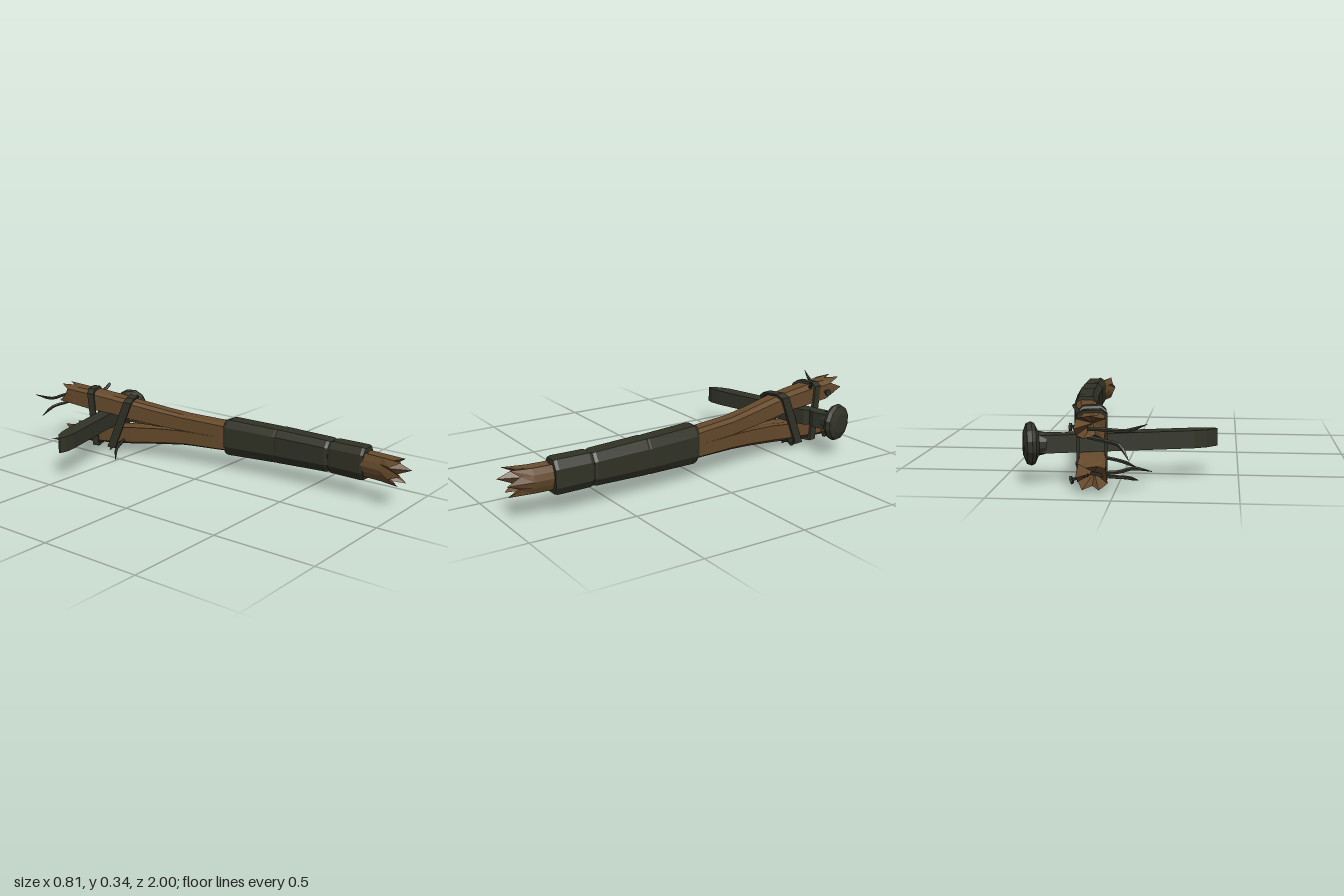
import * as THREE from 'three';

const MID = 0.173; // height of the split between the two prongs

const mat = (name, color) => {
  const m = new THREE.MeshStandardMaterial({ color });
  m.name = name;
  return m;
};

// faceted skin over cross-sections that run from front to back
function loft(rings, frontInset = 0, backInset = 0) {
  const pos = [];
  const tri = (...pts) => pts.forEach((p) => pos.push(p.x, p.y, p.z));
  const n = rings[0].length;
  for (let i = 0; i < rings.length - 1; i++) {
    for (let j = 0; j < n; j++) {
      const k = (j + 1) % n;
      const a = rings[i][j], b = rings[i][k], c = rings[i + 1][j], d = rings[i + 1][k];
      tri(a, c, b);
      tri(b, c, d);
    }
  }
  const middle = (ring, dz) => {
    const c = new THREE.Vector3();
    ring.forEach((p) => c.add(p));
    c.divideScalar(n);
    c.z += dz;
    return c;
  };
  const first = rings[0], last = rings[rings.length - 1];
  const f = middle(first, -frontInset), e = middle(last, backInset);
  for (let j = 0; j < n; j++) {
    const k = (j + 1) % n;
    tri(f, first[j], first[k]);
    tri(e, last[k], last[j]);
  }
  const g = new THREE.BufferGeometry();
  g.setAttribute('position', new THREE.Float32BufferAttribute(pos, 3));
  g.computeVertexNormals();
  return g;
}

function faceted(geometry) {
  const g = geometry.index ? geometry.toNonIndexed() : geometry;
  g.computeVertexNormals();
  return g;
}

// eight-sided section: centre x, half width, bottom and top
const OCT = [[1, -0.55], [1, 0.5], [0.6, 1], [-0.6, 1], [-1, 0.6], [-1, -0.5], [-0.6, -1], [0.6, -1]];
const octRing = (z, x, w, y0, y1) =>
  OCT.map(([u, v]) => new THREE.Vector3(x + u * w, (y0 + y1) / 2 + (v * (y1 - y0)) / 2, z));

// half section of the split wood, flat on the inner side
const HALF = [[-1, 0], [-0.3, 0.06], [0.35, 0], [1, 0], [1, 0.45], [1, 0.8], [0.55, 1], [0, 0.97], [-0.55, 1], [-1, 0.85], [-1, 0.4]];
const JAG = [-0.03, 0.04, -0.02, 0.05, -0.03, 0.04, -0.035, 0.03, -0.035, 0.03, 0.01];

const PRONG = [
  [0.1, 0.25, 0.05, 0.173, 0.24], [0, 0.232, 0.05, 0.173, 0.245],
  [-0.2, 0.202, 0.047, 0.174, 0.252], [-0.33, 0.175, 0.046, 0.18, 0.266],
  [-0.5, 0.14, 0.05, 0.195, 0.288], [-0.62, 0.122, 0.054, 0.211, 0.302],
  [-0.75, 0.105, 0.055, 0.216, 0.313], [-0.86, 0.096, 0.057, 0.226, 0.317],
  [-0.93, 0.09, 0.061, 0.236, 0.322],
];

function prongGeometry(lower) {
  const rings = PRONG.map(([z, x, w, yi, yo], i) => {
    const end = i === PRONG.length - 1;
    const ring = HALF.map(([u, v], j) => {
      const y = yi + v * (yo - yi);
      const zz = z + (end ? JAG[j] : 0) + (lower && z < -0.8 ? 0.04 : 0);
      return new THREE.Vector3(x + u * w, lower ? 2 * MID - y : y, zz);
    });
    return lower ? ring.reverse() : ring;
  });
  return loft(rings, 0, 0.09);
}

// round bar that tapers along a curve to a point
function taperedBar(points, radius, tip = 0.15) {
  const curve = new THREE.CatmullRomCurve3(points.map((p) => new THREE.Vector3(...p)));
  const steps = 8, sides = 5;
  const g = new THREE.TubeGeometry(curve, steps, radius, sides);
  const p = g.attributes.position, v = new THREE.Vector3();
  for (let i = 0; i <= steps; i++) {
    const c = curve.getPointAt(i / steps);
    const s = i < steps - 2 ? 1 : THREE.MathUtils.lerp(1, tip, (i - steps + 2) / 2);
    for (let j = 0; j <= sides; j++) {
      const k = i * (sides + 1) + j;
      v.fromBufferAttribute(p, k).sub(c).multiplyScalar(s).add(c);
      p.setXYZ(k, v.x, v.y, v.z);
    }
  }
  return faceted(g);
}

// slanted strap around both prongs
function strapGeometry(zTop, slant, y0, y1, w, depth) {
  const rect = (P, a, b, c) => {
    const s = new P();
    s.moveTo(-a, b); s.lineTo(a, b); s.lineTo(a, c - 0.02); s.lineTo(a * 0.6, c);
    s.lineTo(-a * 0.6, c); s.lineTo(-a, c - 0.02); s.closePath();
    return s;
  };
  const s = rect(THREE.Shape, w, y0, y1);
  s.holes.push(rect(THREE.Path, w - 0.012, y0 + 0.012, y1 - 0.012));
  const g = new THREE.ExtrudeGeometry(s, { depth, bevelEnabled: false });
  const p = g.attributes.position;
  for (let i = 0; i < p.count; i++) {
    const x = p.getX(i);
    const z = zTop + p.getZ(i) - depth / 2 - x * 0.4 - slant * (y1 - p.getY(i));
    p.setXYZ(i, x + 0.105 - (z + 0.75) * -0.13, p.getY(i), z);
  }
  return faceted(g);
}

export function createModel() {
  const wood = mat('weathered wood', 0x664a2c);
  const wrap = mat('dark wrap', 0x313226);
  const iron = mat('dark iron', 0x323428);
  const model = new THREE.Group();
  const add = (name, geometry, material, parent = model) => {
    const m = new THREE.Mesh(geometry, material);
    m.name = name;
    parent.add(m);
    return m;
  };

  // split wooden shaft
  add('upperProng', prongGeometry(false), wood);
  add('lowerProng', prongGeometry(true), wood);
  add('innerSplinter', taperedBar([[0.19, 0.175, -0.25], [0.15, 0.178, -0.42], [0.13, 0.17, -0.58]], 0.012), wood);

  // broken butt of the handle
  const butt = [[0.97, 0.255, 0.055, 0.12, 0.235], [0.88, 0.272, 0.05, 0.12, 0.233], [0.7, 0.283, 0.045, 0.12, 0.235]]
    .map((r, i) => {
      const ring = [];
      for (let j = 0; j < 12; j++) {
        const a = (j / 12) * Math.PI * 2, long = j % 2 === 0;
        const c = Math.cos(a), s = Math.sin(a), q = 1 / Math.max(Math.abs(c), Math.abs(s), 0.8);
        const k = long ? q : q * 0.85;
        const dz = i ? 0 : long ? 0.03 - (j % 3) * 0.012 : -0.035;
        ring.push(new THREE.Vector3(r[1] + c * k * r[2], (r[3] + r[4]) / 2 + (s * k * (r[4] - r[3])) / 2, r[0] + dz));
      }
      return ring;
    });
  add('brokenButt', loft(butt, 0.1, 0), wood);

  // overlapping wraps on the grip
  const sleeves = [
    [[0.79, 0.285, 0.05, 0.102, 0.252], [0.775, 0.285, 0.054, 0.098, 0.256], [0.62, 0.284, 0.054, 0.1, 0.255], [0.6, 0.283, 0.049, 0.106, 0.248]],
    [[0.605, 0.283, 0.052, 0.105, 0.25], [0.59, 0.283, 0.058, 0.101, 0.254], [0.33, 0.268, 0.06, 0.093, 0.261], [0.315, 0.267, 0.056, 0.095, 0.258]],
    [[0.325, 0.268, 0.056, 0.094, 0.258], [0.31, 0.267, 0.058, 0.092, 0.26], [0.05, 0.241, 0.058, 0.084, 0.266], [0.032, 0.238, 0.054, 0.09, 0.26]],
  ];
  sleeves.forEach((s) => add('gripWrap', loft(s.map((r) => octRing(...r))), wrap));

  // big spike wedged through the split
  const spike = new THREE.Group();
  spike.name = 'spike';
  spike.position.set(0, MID, -0.64);
  spike.rotation.y = 0.27;
  model.add(spike);
  const plan = new THREE.Shape([
    [-0.425, -0.012], [-0.39, -0.03], [-0.33, -0.037], [0.21, -0.037], [0.235, -0.02], [0.27, -0.04],
    [0.35, -0.036], [0.35, 0.036], [-0.31, 0.037], [-0.37, 0.026], [-0.425, -0.004],
  ].map((p) => new THREE.Vector2(...p)));
  const shaft = new THREE.ExtrudeGeometry(plan, { depth: 0.076, bevelEnabled: false });
  shaft.translate(0, 0, -0.038).rotateX(-Math.PI / 2);
  add('spikeShaft', faceted(shaft), iron, spike);
  const headProfile = [[0, 0.315], [0.045, 0.315], [0.052, 0.345], [0.085, 0.36], [0.092, 0.375], [0.085, 0.395], [0.05, 0.408], [0, 0.41]]
    .map((p) => new THREE.Vector2(...p));
  const head = new THREE.LatheGeometry(headProfile, 12, Math.PI / 12);
  head.rotateZ(-Math.PI / 2);
  add('spikeHead', faceted(head), iron, spike);

  // straps that hold the prongs on the spike
  add('frontStrap', strapGeometry(-0.525, 0.42, 0.026, 0.305, 0.062, 0.05), wrap);
  add('rearStrap', strapGeometry(-0.77, -0.1, 0.023, 0.324, 0.064, 0.04), wrap);
  add('strapEnd', taperedBar([[0.15, 0.3, -0.75], [0.165, 0.312, -0.74], [0.185, 0.336, -0.73]], 0.009, 0.7), wrap);
  add('strapEnd', taperedBar([[0.13, 0.03, -0.64], [0.1, 0.022, -0.64], [0.075, 0.004, -0.64]], 0.007, 0.5), wrap);

  // bent nails poking out of the prongs
  [
    [[0.1, 0.27, -0.92], [0.03, 0.27, -0.93], [-0.06, 0.268, -0.935], [-0.14, 0.3, -0.965]],
    [[0.1, 0.235, -0.91], [0.03, 0.225, -0.93], [-0.03, 0.213, -0.955], [-0.07, 0.162, -0.998]],
    [[0.1, 0.075, -0.84], [0.03, 0.062, -0.84], [-0.05, 0.058, -0.84], [-0.1, 0.062, -0.9]],
    [[0.1, 0.07, -0.8], [0.0, 0.068, -0.79], [-0.07, 0.085, -0.785], [-0.145, 0.071, -0.775]],
    [[0.14, 0.085, -0.56], [0.07, 0.075, -0.54], [0.0, 0.055, -0.52], [-0.06, 0.018, -0.475]],
  ].forEach((path) => add('bentNail', taperedBar(path, 0.008), iron));

  // nail heads on the other side
  [[0.15, 0.025, -0.645], [0.188, 0.055, -0.6], [0.178, 0.045, -0.84], [0.178, 0.265, -0.85]].forEach(([x, y, z]) => {
    const nail = new THREE.Group();
    nail.name = 'nailHead';
    nail.position.set(x, y, z);
    nail.rotation.z = -Math.PI / 2 - (y < MID ? 0.3 : 0);
    model.add(nail);
    add('nailDisc', faceted(new THREE.CylinderGeometry(0.018, 0.016, 0.01, 7)), iron, nail);
    add('nailShank', faceted(new THREE.CylinderGeometry(0.007, 0.007, 0.07, 5).translate(0, -0.035, 0)), iron, nail);
  });

  return model;
}
